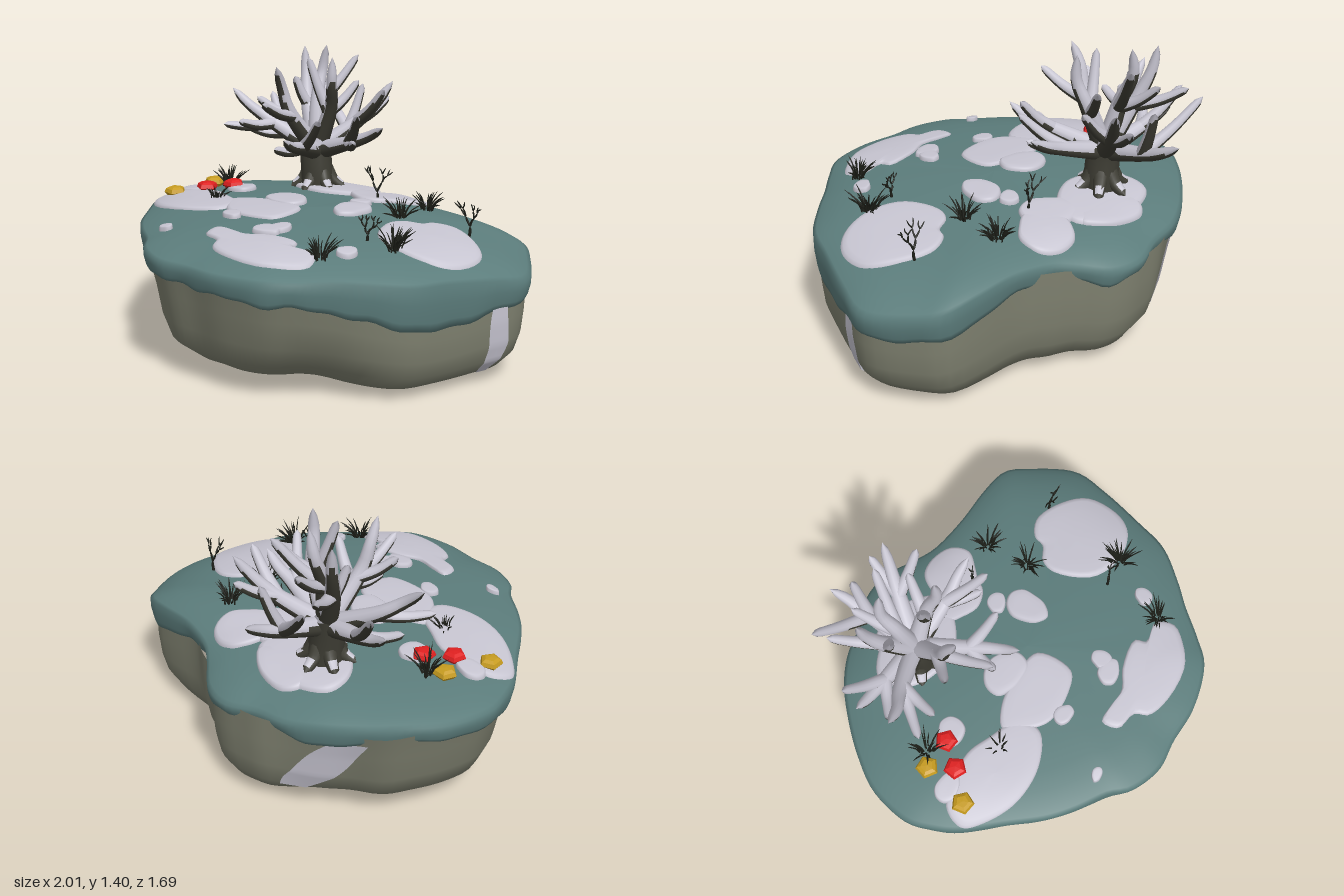
import * as THREE from 'three';
import { mergeGeometries } from 'three/addons/utils/BufferGeometryUtils.js';

const TAU = Math.PI * 2;
const V = (x, y, z) => new THREE.Vector3(x, y, z);
const mix = THREE.MathUtils.lerp, smooth = THREE.MathUtils.smoothstep;

let seed = 7;
const rnd = (a = 0, b = 1) => {
  seed = (seed * 16807) % 2147483647;
  return a + (b - a) * (seed / 2147483647);
};

const mat = (name, color) => {
  const m = new THREE.MeshStandardMaterial({ color });
  m.name = name;
  return m;
};

// Island rim: x, z, height of the turf edge, height of its hanging lower edge
const RIM = [
  [1, -0.4, 0.49, 0.38], [0.98, -0.2, 0.52, 0.37], [0.92, 0.05, 0.55, 0.34], [0.87, 0.23, 0.56, 0.36],
  [0.75, 0.39, 0.58, 0.41], [0.65, 0.5, 0.59, 0.45], [0.55, 0.63, 0.59, 0.48], [0.44, 0.74, 0.6, 0.49],
  [0.24, 0.81, 0.6, 0.51], [0.05, 0.82, 0.6, 0.51], [-0.11, 0.84, 0.6, 0.52], [-0.27, 0.79, 0.61, 0.52],
  [-0.36, 0.71, 0.62, 0.49], [-0.5, 0.63, 0.62, 0.51], [-0.62, 0.54, 0.62, 0.53], [-0.75, 0.4, 0.62, 0.52],
  [-0.89, 0.25, 0.61, 0.5], [-0.96, 0.13, 0.61, 0.5], [-1, 0, 0.61, 0.52], [-0.97, -0.2, 0.61, 0.52],
  [-0.88, -0.36, 0.61, 0.52], [-0.77, -0.5, 0.6, 0.5], [-0.64, -0.63, 0.59, 0.48], [-0.5, -0.72, 0.57, 0.49],
  [-0.34, -0.77, 0.56, 0.5], [-0.19, -0.84, 0.54, 0.48], [-0.04, -0.83, 0.54, 0.46], [0.1, -0.75, 0.57, 0.5],
  [0.21, -0.7, 0.59, 0.52], [0.4, -0.68, 0.6, 0.5], [0.6, -0.69, 0.58, 0.45], [0.76, -0.68, 0.55, 0.41],
  [0.86, -0.6, 0.52, 0.39],
];
const rimCurve = k => new THREE.CatmullRomCurve3(RIM.map(p => V(p[0], p[k], p[1])), true, 'catmullrom');
const edgeCurve = rimCurve(2), lowCurve = rimCurve(3);
const SAMPLES = Array.from({ length: 480 }, (_, i) => {
  const p = edgeCurve.getPoint(i / 480), q = lowCurve.getPoint(i / 480);
  return { a: (Math.atan2(p.z, p.x) + TAU) % TAU, r: Math.hypot(p.x, p.z), e: p.y, l: q.y };
}).sort((p, q) => p.a - q.a);

// Rim radius, edge height and lower height in a direction
function rimAt(angle) {
  const a = ((angle % TAU) + TAU) % TAU;
  const i = Math.max(0, SAMPLES.findIndex(s => s.a >= a));
  const q = SAMPLES[i], p = SAMPLES[(i + SAMPLES.length - 1) % SAMPLES.length];
  const k = ((a - p.a + TAU) % TAU) / ((q.a - p.a + TAU) % TAU || 1);
  return { r: mix(p.r, q.r, k), e: mix(p.e, q.e, k), l: mix(p.l, q.l, k) };
}
const domeY = (rho, e) => 0.71 - (0.71 - e) * (0.5 * rho ** 1.4 + 0.5 * rho ** 8);
function topY(x, z) {
  const rim = rimAt(Math.atan2(z, x));
  return domeY(Math.min(1, Math.hypot(x, z) / rim.r), rim.e);
}

// Skin over rings of points that run from the top centre outward and down
function loft(rings, closed = true) {
  const n = rings[0].length, idx = [];
  for (let i = 0; i < rings.length - 1; i++) {
    for (let j = 0; j < (closed ? n : n - 1); j++) {
      const a = i * n + j, d = i * n + (j + 1) % n;
      idx.push(a, d + n, a + n, a, d, d + n);
    }
  }
  const g = new THREE.BufferGeometry().setFromPoints(rings.flat());
  g.setIndex(idx);
  g.computeVertexNormals();
  return g;
}
const ring = (n, f) => Array.from({ length: n }, (_, j) => f((j / n) * TAU));

// Rock surface: height share, radius share on the round side and on the steep side
const LEVELS = [[1, 0.97, 0.975], [0.75, 0.93, 0.975], [0.5, 0.9, 0.965], [0.3, 0.85, 0.94],
  [0.14, 0.71, 0.88], [0.04, 0.45, 0.6], [0, 0, 0]];
function rockPoint(a, t, grow = 1) {
  const rim = rimAt(a), i = Math.min(5, Math.floor(t)), k = t - i;
  const [h, soft, steep] = LEVELS[i].map((v, c) => mix(v, LEVELS[i + 1][c], k));
  const w = smooth((Math.cos(a) - Math.sin(a)) * 0.6, -0.2, 0.5);
  const bulge = [[4.29, 0.12], [4.98, 0.12], [3.6, 0.15]]
    .reduce((s, [c, d]) => s + 0.05 * Math.exp(-(((a - c) / d) ** 2)), 1);
  const chamfer = 1 - 0.13 * smooth(t, 1.5, 4) * Math.exp(-(((a - 0.75) / 0.35) ** 2));
  const r = rim.r * mix(soft, steep, w) * bulge * chamfer * grow;
  return V(Math.cos(a) * r, h * (rim.l + 0.05), Math.sin(a) * r);
}

// Thin snow streak on the rock, from (a0..a1) at t0 to the same span shifted by slant at t1
function streak(a0, a1, t0, t1, slant) {
  const rows = Array.from({ length: 17 }, (_, i) => {
    const v = i / 16, wob = 0.005 * Math.sin(v * 9), pinch = 0.5 - 0.7 * (v - 0.45) ** 2;
    return Array.from({ length: 7 }, (_, j) => {
      const a = (a0 + a1) / 2 + slant * v + wob + (a1 - a0) * pinch * (j / 3 - 1);
      const p = rockPoint(a, mix(t0, t1, v), 1.008);
      p.y = Math.max(0, p.y - 0.004);
      return p;
    });
  });
  return loft(rows, false);
}

// Snow patch draped on the turf, from a closed outline of [x, z]
function drape(outline, thick = 0.016) {
  const c = new THREE.CatmullRomCurve3(outline.map(p => V(p[0], 0, p[1])), true);
  const pts = c.getPoints(48).slice(0, 48);
  const mid = pts.reduce((s, p) => s.add(p), V(0, 0, 0)).divideScalar(48);
  const steps = [[0, 1], [0.3, 1], [0.6, 1], [0.88, 0.97], [0.96, 0.75], [1, 0.2], [1, -0.5]];
  return loft(steps.map(([s, h]) => pts.map(p => {
    const q = mid.clone().lerp(p, s);
    q.y = topY(q.x, q.z) + thick * h;
    return q;
  })));
}
const oval = (x, z, rx, rz) => ring(9, a => {
  const k = 1 + 0.1 * Math.sin(a * 2 + x * 30) + 0.06 * Math.sin(a * 3 + z * 20);
  return [x + Math.cos(a) * rx * k, z + Math.sin(a) * rz * k];
});

// Tapered tube along points, with a rounded tip
function limb(points, r0, r1, seg = 14, sides = 12) {
  const curve = new THREE.CatmullRomCurve3(points);
  const g = new THREE.TubeGeometry(curve, seg, 1, sides), pos = g.attributes.position;
  for (let i = 0; i <= seg; i++) {
    const t = i / seg, c = curve.getPointAt(t), r = mix(r0, r1, t) * Math.sqrt(Math.min(1, (1 - t) * 9)) + 0.0005;
    for (let j = 0; j <= sides; j++) {
      const k = i * (sides + 1) + j;
      const p = V().fromBufferAttribute(pos, k).sub(c).multiplyScalar(r).add(c);
      pos.setXYZ(k, p.x, p.y, p.z);
    }
  }
  return g;
}

// Split faces into bark and the snow that lies on the upper side
function snowOnTop(g) {
  const idx = g.index.array, pos = g.attributes.position, lists = [[], []];
  for (let i = 0; i < idx.length; i += 3) {
    const [a, b, c] = [0, 1, 2].map(k => V().fromBufferAttribute(pos, idx[i + k]));
    const n = b.clone().sub(a).cross(c.clone().sub(a)).normalize();
    const y = (a.y + b.y + c.y) / 3;
    const limit = mix(0.5, -0.05, smooth(y, 0.84, 1)) - 0.12 * smooth(y, 1, 1.3);
    lists[n.y > limit ? 1 : 0].push(idx[i], idx[i + 1], idx[i + 2]);
  }
  g.setIndex(lists.flat());
  g.addGroup(0, lists[0].length, 0);
  g.addGroup(lists[0].length, lists[1].length, 1);
  return g;
}

export function createModel() {
  const model = new THREE.Group();
  const turf = mat('frosted turf', 0x5c7d7c), rock = mat('rock', 0x7e806f), snow = mat('snow', 0xc8c6d2);
  const bark = mat('bark', 0x3e3d34), grass = mat('dark grass', 0x1f211a);
  const red = mat('red', 0xe02020), yellow = mat('yellow', 0xc79c20);
  snow.side = THREE.DoubleSide;
  const add = (name, g, m) => {
    const mesh = new THREE.Mesh(g, m);
    mesh.name = name;
    model.add(mesh);
  };

  // Rock body and the turf that hangs over it
  add('rockBody', loft(LEVELS.map((_, t) => ring(120, a => rockPoint(a, t)))), rock);
  const top = [0, 0.2, 0.4, 0.6, 0.75, 0.86, 0.94, 0.98].map(s => [s, m => domeY(s, m.e)]);
  const skirt = [[1, 0], [1, 0.4], [0.99, 0.8], [0.98, 1], [0.93, 0.95]].map(([s, k]) => [s, (m, a) =>
    mix(m.e, m.l + 0.005 * Math.sin(a * 17) + 0.005 * Math.sin(a * 29 + 1), k)]);
  add('turfCap', loft([...top, ...skirt].map(([s, y]) => ring(160, a => {
    const m = rimAt(a);
    return V(Math.cos(a) * m.r * s, y(m, a), Math.sin(a) * m.r * s);
  }))), turf);

  // Snow on the ground
  const patches = [
    [[0.4, -0.12], [0.42, -0.2], [0.49, -0.25], [0.51, -0.31], [0.6, -0.36], [0.75, -0.32], [0.87, -0.22], [0.88, -0.05], [0.81, 0.05], [0.65, 0.1], [0.49, 0.05]],
    [[-0.1, 0.5], [-0.02, 0.49], [0.08, 0.49], [0.18, 0.43], [0.33, 0.4], [0.36, 0.45], [0.47, 0.43], [0.52, 0.51], [0.46, 0.6], [0.36, 0.67], [0.17, 0.69], [0.06, 0.66], [0.02, 0.6], [-0.08, 0.58]],
    [[-0.88, 0.24], [-0.84, 0.13], [-0.6, 0.07], [-0.47, 0.11], [-0.32, 0.18], [-0.31, 0.29], [-0.45, 0.38], [-0.64, 0.39], [-0.8, 0.32]],
    [[-0.4, 0.14], [-0.31, 0.07], [-0.15, 0.04], [0.0, 0.06], [0.02, 0.24], [-0.07, 0.29], [-0.24, 0.3], [-0.34, 0.23]],
  ];
  const ovals = [[-0.17, -0.01, 0.11, 0.1], [0.165, -0.12, 0.085, 0.1], [0.1, -0.25, 0.05, 0.05], [0.11, -0.53, 0.14, 0.14],
    [0.01, -0.43, 0.14, 0.11], [-0.28, -0.45, 0.27, 0.16], [-0.25, -0.57, 0.19, 0.08], [0.12, 0.39, 0.07, 0.05], [0.15, 0.33, 0.05, 0.05],
    [0.55, 0.31, 0.045, 0.045], [-0.32, 0.62, 0.035, 0.025], [-0.18, 0.335, 0.05, 0.045], [-0.77, 0.09, 0.07, 0.06], [-0.55, -0.05, 0.07, 0.07]];
  add('snowPatches', mergeGeometries([...patches.map(p => drape(p)), ...ovals.map(o => drape(oval(...o), 0.022))]), snow);
  add('snowStreaks', mergeGeometries([
    streak(-0.29, -0.19, 0.2, 3.9, -0.01), streak(3.66, 3.92, 0.3, 3, 0.32), streak(0.05, 0.25, 4.35, 5.3, 0.05),
  ]), snow);

  // Tree: trunk, roots, and limbs that each carry side branches
  const crown = V(-0.35, 0.87, -0.39);
  const parts = [limb([V(-0.34, 0.64, -0.39), V(-0.34, 0.74, -0.385), V(-0.35, 0.86, -0.385), V(-0.355, 0.97, -0.4)], 0.085, 0.08, 10, 12)];
  for (let i = 0; i < 6; i++) {
    const a = i * 1.05 + 0.3, c = Math.cos(a), s = Math.sin(a);
    parts.push(limb([V(-0.34 + c * 0.04, 0.78, -0.39 + s * 0.04), V(-0.34 + c * 0.08, 0.72, -0.39 + s * 0.08),
      V(-0.34 + c * 0.14, 0.68, -0.39 + s * 0.14)], 0.04, 0.02, 6));
  }
  const LIMBS = [
    [[-0.39, 1.4, -0.5], [-0.28, 1.35, -0.62], [-0.46, 1.24, -0.62]],
    [[-0.2, 1.37, -0.35], [-0.34, 1.36, -0.32], [-0.18, 1.24, -0.52]],
    [[-0.55, 1.38, -0.5], [-0.62, 1.2, -0.64], [-0.5, 1.24, -0.38]],
    [[-0.36, 1.33, -0.12], [-0.48, 1.17, -0.1], [-0.3, 1.17, 0.03]],
    [[-0.39, 1.04, -0.83], [-0.34, 1.18, -0.72], [-0.64, 1.18, -0.71]],
    [[-0.12, 1.22, -0.71], [-0.18, 1.13, -0.75], [-0.05, 1.2, -0.57]],
    [[0.1, 1.05, -0.4], [0.06, 1.12, -0.26], [0.02, 0.98, -0.27]],
    [[-0.13, 1.02, 0.05], [-0.25, 0.95, 0], [-0.06, 1.1, -0.12]],
    [[-0.77, 1.17, -0.19], [-0.72, 1.0, -0.08], [-0.6, 1.03, -0.08]],
    [[-0.77, 1.01, -0.39], [-0.76, 1.12, -0.46], [-0.72, 0.96, -0.25]],
  ];
  for (const [main, ...sides] of LIMBS) {
    const tip = V(...main), bend = crown.clone().lerp(tip, 0.5), sway = rnd(-0.02, 0.02);
    bend.x += (tip.x - crown.x) * 0.12 + sway;
    bend.z += (tip.z - crown.z) * 0.12 - sway;
    const fork = crown.clone().lerp(bend, 0.85);
    parts.push(limb([crown, bend, bend.clone().lerp(tip, 0.55).add(V(sway, -0.01, sway)), tip], 0.05, 0.019));
    for (const s of sides) {
      const end = V(...s), mid = fork.clone().lerp(end, 0.5);
      mid.y -= 0.015;
      parts.push(limb([fork, mid, end], 0.032, 0.018, 12));
    }
  }
  add('bareTree', snowOnTop(mergeGeometries(parts)), [bark, snow]);

  // Grass tufts
  const blades = [];
  for (const [x, z, n, len] of [[-0.69, -0.09, 28, 0.11], [0.33, -0.47, 28, 0.1], [0.36, -0.25, 28, 0.1], [0.64, 0.11, 34, 0.11],
    [0.5, 0.43, 30, 0.11], [-0.48, 0.18, 14, 0.08]]) {
    const y = topY(x, z);
    for (let i = 0; i < n; i++) {
      const a = rnd(0, TAU), out = rnd(0.25, 1.05) * len, h = len * rnd(0.3, 0.95), c = Math.cos(a), s = Math.sin(a);
      const b = rnd(0.005, 0.035);
      blades.push(limb([V(x + c * b, y - 0.005, z + s * b), V(x + c * out * 0.55, y + h * 0.6, z + s * out * 0.55),
        V(x + c * out, y + h, z + s * out)], 0.004, 0.0025, 4, 4));
    }
  }
  add('grassTufts', mergeGeometries(blades), grass);

  // Bare twigs that fork repeatedly
  const twigs = [];
  const grow = (p, dir, len, r, depth) => {
    const end = p.clone().addScaledVector(dir, len), mid = p.clone().lerp(end, 0.5);
    mid.x += rnd(-0.008, 0.008);
    twigs.push(limb([p, mid, end], r, r * 0.7, 4, 5));
    if (depth) for (const side of [-1, 1]) {
      const d = dir.clone().add(V(side * rnd(0.3, 0.75), 0.2, rnd(-0.4, 0.4))).normalize();
      grow(end, d, len * rnd(0.75, 0.95), r * 0.75, depth - 1);
    }
  };
  for (const [x, z, len] of [[0.08, -0.38, 0.062], [0.69, -0.35, 0.064], [0.5, 0.13, 0.04]])
    grow(V(x, topY(x, z) - 0.01, z), V(0.1, 1, 0).normalize(), len, 0.0075, 3);
  add('twigs', mergeGeometries(twigs), grass);

  // Five-sided red and yellow stones
  const profile = [[0.04, 0], [0.056, 0.018], [0.048, 0.036], [0.03, 0.045], [0, 0.047]].map(p => new THREE.Vector2(...p));
  for (const [x, z, m] of [[-0.6, -0.04, red], [-0.68, 0.07, red], [-0.75, -0.04, yellow], [-0.79, 0.19, yellow]]) {
    const g = new THREE.LatheGeometry(profile, 5).toNonIndexed();
    g.computeVertexNormals();
    g.rotateY(x * 20).translate(x, topY(x, z) + 0.004, z);
    add(m.name + 'Stone', g, m);
  }
  return model;
}
